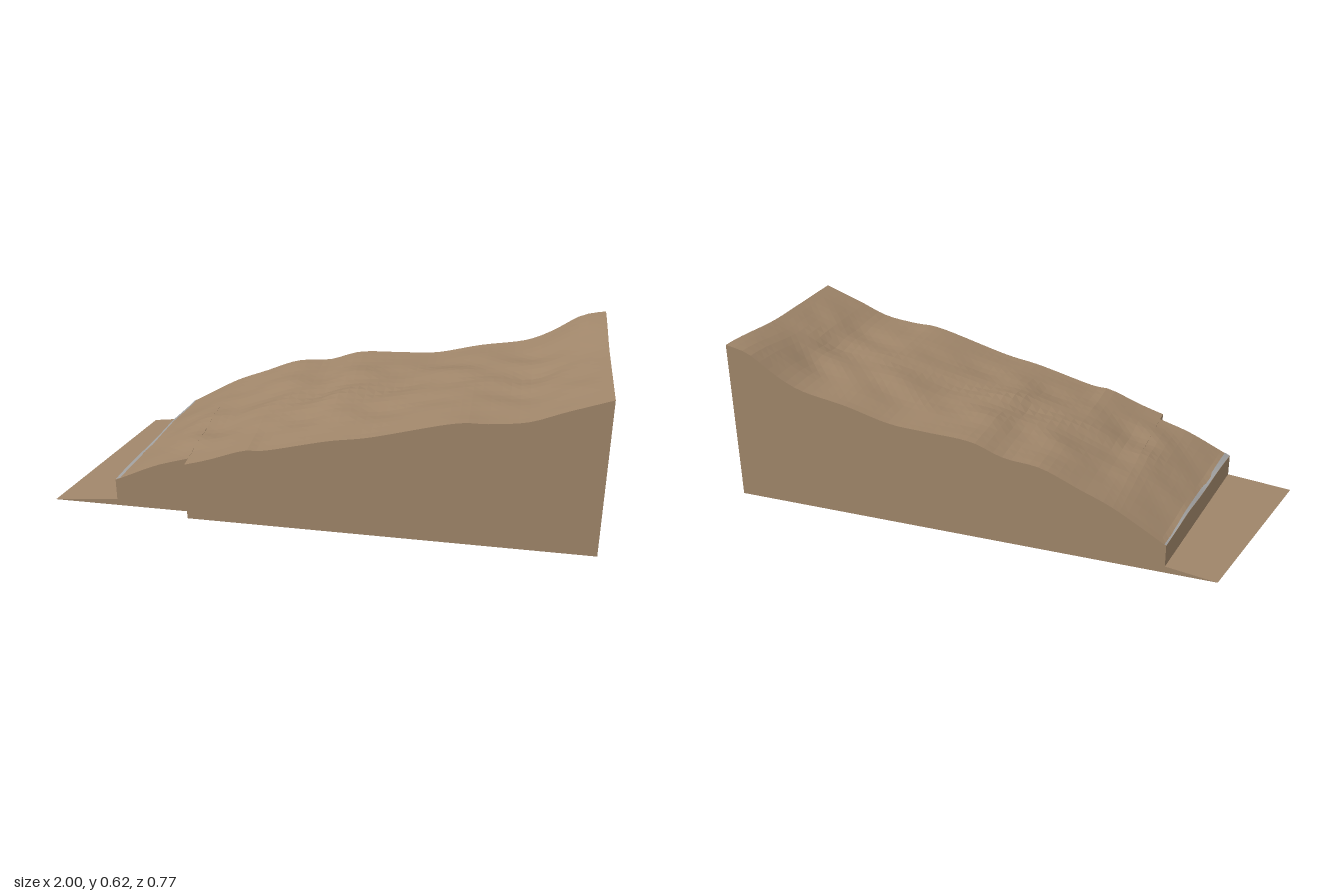
import * as THREE from 'three';

const BACK = -0.39, FRONT = 0.385, NOTCH_FRONT = 0.337, NOTCH_X = -0.47;

// Slanted plan lines: toe of the apron and foot of the step
const slant = (xFront, xBack) => (z) => THREE.MathUtils.mapLinear(z, NOTCH_FRONT, BACK, xFront, xBack);
const toeX = slant(-1, -0.847);
const stepX = slant(-0.755, -0.663);

// Smooth height profile through [x, y] points
function profile(points) {
  const curve = new THREE.SplineCurve(points.map(([x, y]) => new THREE.Vector2(x, y)));
  const samples = curve.getPoints(200);
  return (x) => {
    let i = 1;
    while (i < samples.length - 1 && samples[i].x < x) i++;
    const a = samples[i - 1], b = samples[i];
    return THREE.MathUtils.mapLinear(THREE.MathUtils.clamp(x, a.x, b.x), a.x, b.x, a.y, b.y);
  };
}

const frontEdge = profile([[-0.755, 0.107], [-0.6, 0.18], [-0.5, 0.213], [-0.38, 0.25], [-0.25, 0.298],
  [-0.17, 0.306], [0.05, 0.362], [0.2, 0.39], [0.48, 0.466], [0.6, 0.475], [0.73, 0.493], [0.85, 0.54], [1, 0.595]]);
const middle = profile([[-0.71, 0.11], [-0.6, 0.172], [-0.5, 0.222], [-0.4, 0.242], [-0.3, 0.285], [-0.18, 0.326],
  [-0.05, 0.352], [0.05, 0.384], [0.25, 0.402], [0.48, 0.458], [0.73, 0.487], [0.85, 0.535], [1, 0.594]]);
const backEdge = profile([[-0.663, 0.108], [-0.48, 0.215], [-0.35, 0.27], [-0.21, 0.327], [-0.075, 0.343],
  [0.05, 0.385], [0.22, 0.395], [0.36, 0.405], [0.53, 0.448], [0.7, 0.48], [0.8, 0.525], [0.91, 0.597], [1, 0.62]]);

// Hill surface: blend of the three profiles plus low weathered ripples
function hillHeight(x, z) {
  const v = (z - BACK) / (FRONT - BACK);
  const smooth = (t) => t * t * (3 - 2 * t);
  const base = v < 0.5
    ? THREE.MathUtils.lerp(backEdge(x), middle(x), smooth(v * 2))
    : THREE.MathUtils.lerp(middle(x), frontEdge(x), smooth(v * 2 - 1));
  const fade = Math.sin(Math.PI * THREE.MathUtils.clamp(v, 0, 1))
    * THREE.MathUtils.smoothstep(x, -0.76, -0.5) * (1 - THREE.MathUtils.smoothstep(x, 0.85, 1));
  const ripple = Math.sin(z * 31 + 2.5 * Math.sin(x * 5)) * Math.cos(x * 9 + z * 4)
    + 0.6 * Math.sin(x * 23 + Math.sin(z * 17) * 2);
  return base + 0.005 * fade * ripple;
}

// Columns along x: the doubled ones make the step cliff and the notch wall
function makeColumns() {
  const columns = [];
  const add = (count, front, xAt, height) => {
    for (let i = 0; i <= count; i++) columns.push({ front, x: (z) => xAt(z, i / count), y: height });
  };
  const lerp = THREE.MathUtils.lerp;
  add(3, NOTCH_FRONT, (z, t) => lerp(toeX(z), stepX(z), t),
    (x, z) => 0.025 * THREE.MathUtils.clamp((x - toeX(z)) / (stepX(z) - toeX(z)), 0, 1));
  add(8, NOTCH_FRONT, (z, t) => lerp(stepX(z), NOTCH_X, t), hillHeight);
  add(44, FRONT, (z, t) => lerp(NOTCH_X, 1, t), hillHeight);
  return columns;
}

// Closed solid lofted through the column cross-sections
function makeSlope(rows) {
  const columns = makeColumns(), ring = rows + 3;
  const positions = [], index = [];
  for (const { front, x, y } of columns) {
    for (let j = 0; j < ring; j++) {
      const z = THREE.MathUtils.lerp(BACK, front, THREE.MathUtils.clamp((j - 1) / rows, 0, 1));
      const px = x(z), onTop = j > 0 && j < ring - 1;
      positions.push(px, onTop ? y(px, z) : 0, z);
    }
  }
  for (let i = 0; i < columns.length - 1; i++) {
    for (let j = 0; j < ring; j++) {
      const k = (j + 1) % ring;
      const a = i * ring + j, b = i * ring + k, c = b + ring, d = a + ring;
      index.push(a, b, c, a, c, d);
    }
  }
  // End wall on the tall side
  const last = (columns.length - 1) * ring;
  for (let j = 1; j < ring - 1; j++) index.push(last, last + j, last + j + 1);
  const geometry = new THREE.BufferGeometry();
  geometry.setAttribute('position', new THREE.Float32BufferAttribute(positions, 3));
  geometry.setIndex(index);
  const flat = geometry.toNonIndexed();
  flat.computeVertexNormals();
  return flat;
}

// Thin pale strip along the top of the step, narrowing to the back
function makeStepLip() {
  const geometry = new THREE.PlaneGeometry(1, 1, 1, 20).rotateX(-Math.PI / 2);
  const p = geometry.attributes.position;
  for (let i = 0; i < p.count; i++) {
    const t = p.getZ(i) + 0.5;
    const z = THREE.MathUtils.lerp(BACK, NOTCH_FRONT, t);
    const x = stepX(z) + (p.getX(i) + 0.5) * (0.006 + 0.014 * t);
    p.setXYZ(i, x, hillHeight(x, z) + 0.002, z);
  }
  geometry.computeVertexNormals();
  return geometry;
}

export function createModel() {
  const group = new THREE.Group();
  group.name = 'terrainSlope';
  const add = (name, geometry, options) => {
    const mesh = new THREE.Mesh(geometry, new THREE.MeshStandardMaterial(options));
    mesh.name = name;
    group.add(mesh);
  };
  add('earthSlope', makeSlope(22), { color: 0xa0866a, flatShading: true });
  add('stepLip', makeStepLip(), { color: 0xa0a0a0, side: THREE.DoubleSide });
  return group;
}
